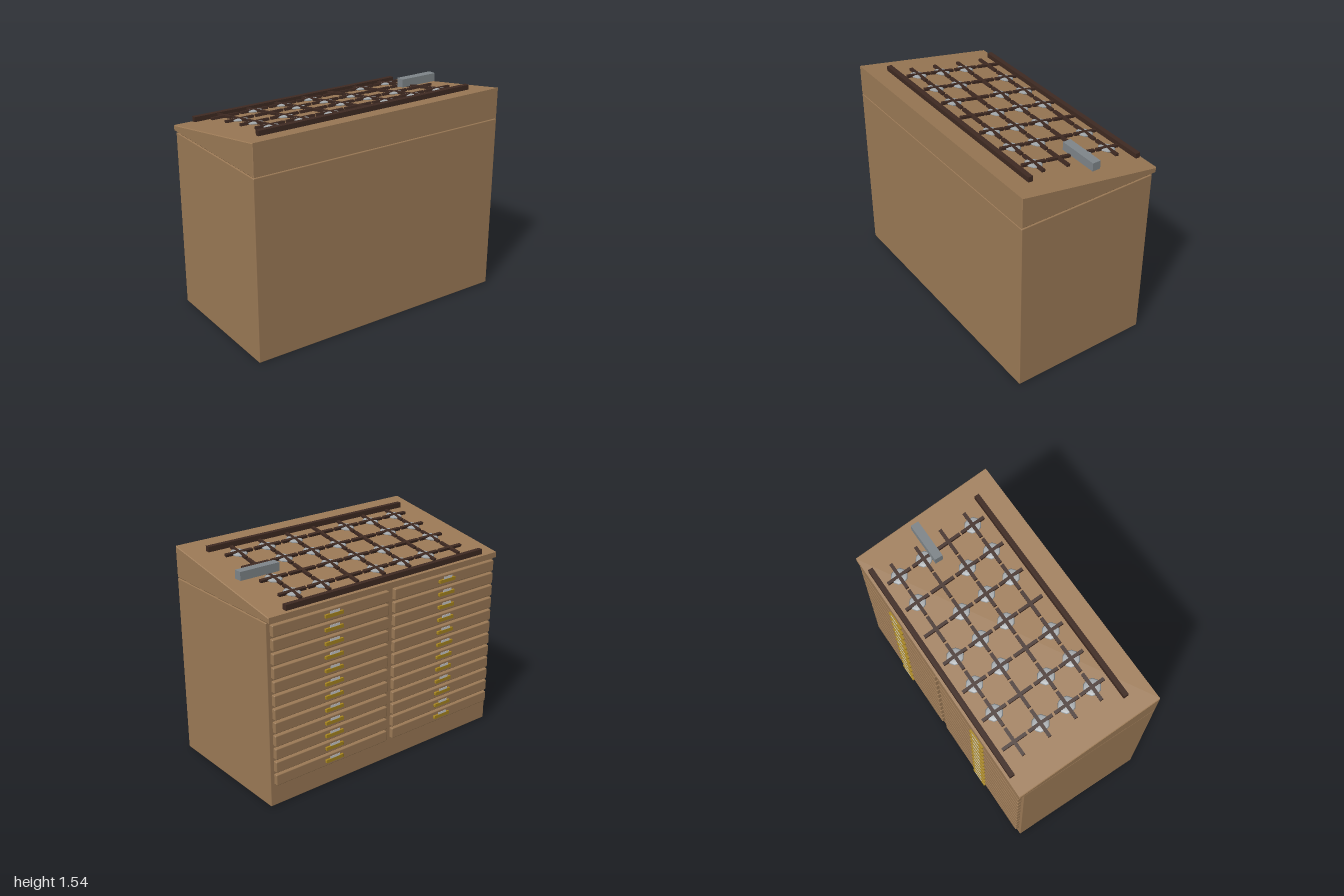
import * as THREE from 'three';
import { RoundedBoxGeometry } from 'three/addons/geometries/RoundedBoxGeometry.js';

const material = (color) => new THREE.MeshStandardMaterial({ color });
const wood = material(0x9c7a56);
const darkWood = material(0x3f2a22);
const brass = material(0xa8861f);
const steel = material(0x7f868a);
const silver = material(0xa3a8ab);
const paper = material(0xd0d0d0);

function add(parent, name, geometry, mat, x = 0, y = 0, z = 0) {
  const mesh = new THREE.Mesh(geometry, mat);
  mesh.name = name;
  mesh.position.set(x, y, z);
  parent.add(mesh);
  return mesh;
}

// Sloping desk top: height of its surface at a given z
const slope = 0.1737;
const topY = (z) => 1.535 - (0.54 - z) * slope;

// Extrudes a [u, v] outline along x (u = -z, v = y), with chamfered ends
function extrudeAlongX(points, width, bevel) {
  const shape = new THREE.Shape(points.map(([z, y]) => new THREE.Vector2(-z, y)));
  const geometry = new THREE.ExtrudeGeometry(shape, {
    depth: width - 2 * bevel, bevelEnabled: true, bevelSegments: 1,
    bevelSize: bevel, bevelThickness: bevel, bevelOffset: -bevel,
  });
  geometry.translate(0, 0, -width / 2 + bevel);
  geometry.rotateY(Math.PI / 2);
  return geometry;
}

// One drawer with its pull and label, facing -z
function createDrawer(x, y) {
  const drawer = new THREE.Group();
  drawer.name = 'drawer';
  drawer.position.set(x, y, -0.495);
  add(drawer, 'drawerFront', new RoundedBoxGeometry(0.95, 0.08, 0.036, 1, 0.007), wood, 0, 0, -0.012);
  const pull = extrudeAlongX([[-0.026, -0.012], [-0.026, 0.012], [-0.045, 0.012], [-0.045, -0.012]], 0.15, 0.003);
  add(drawer, 'drawerPull', pull, brass);
  add(drawer, 'drawerLabel', new THREE.BoxGeometry(0.08, 0.018, 0.002), paper, 0, 0.023, -0.045);
  return drawer;
}

export function createModel() {
  const model = new THREE.Group();
  model.name = 'drawerCabinet';

  // Cabinet body and wedge-shaped top
  add(model, 'cabinetBody', new RoundedBoxGeometry(2, 1.306, 1.036, 1, 0.006), wood, 0, 0.653, 0.022);
  const wedge = [[0.54, 1.31], [0.54, 1.535], [-0.528, topY(-0.528)], [-0.528, 1.31]].reverse();
  add(model, 'slopedTop', extrudeAlongX(wedge, 2, 0.005), wood);
  add(model, 'topSeam', new THREE.BoxGeometry(1.98, 0.02, 1.01), wood, 0, 1.308, 0.022);

  // Two columns of twelve drawers
  for (const x of [-0.505, 0.495]) {
    for (let i = 0; i < 12; i++) model.add(createDrawer(x, 0.2 + i * 0.0955));
  }

  // Long rails along the upper and lower edge of the top
  for (const z of [-0.493, 0.373]) {
    add(model, 'rail', new THREE.BoxGeometry(1.72, 0.038, 0.035), darkWood, -0.005, topY(z) + 0.019, z);
  }

  // Lattice of crosses, most of them holding a flat silver disc (1 = disc)
  const rows = [[-0.36, '0111011'], [-0.16, '1011101'], [0.04, '1101110'], [0.235, '1110111']];
  // The first row keeps its empty crosses at both the first and fifth place
  const longBar = new THREE.BoxGeometry(0.212, 0.018, 0.024);
  const crossBar = new THREE.BoxGeometry(0.022, 0.018, 0.186);
  const discShape = new THREE.SphereGeometry(0.06, 10, 6).scale(1, 0.18, 1);
  for (const [z, discs] of rows) {
    for (let i = 0; i < 7; i++) {
      const cross = new THREE.Group();
      cross.name = 'latticeCross';
      cross.position.set(-0.69 + i * 0.231, topY(z) + 0.023, z);
      cross.rotation.x = -Math.atan(slope);
      add(cross, 'latticeBar', longBar, darkWood);
      add(cross, 'latticeCrossBar', crossBar, darkWood);
      if (discs[i] === '1') add(cross, 'disc', discShape, silver, 0, -0.003, 0);
      model.add(cross);
    }
  }

  // Steel block resting over the right-hand side of the lattice
  add(model, 'steelBlock', new THREE.BoxGeometry(0.305, 0.06, 0.06), steel, 0.768, 1.483, -0.087);

  return model;
}
